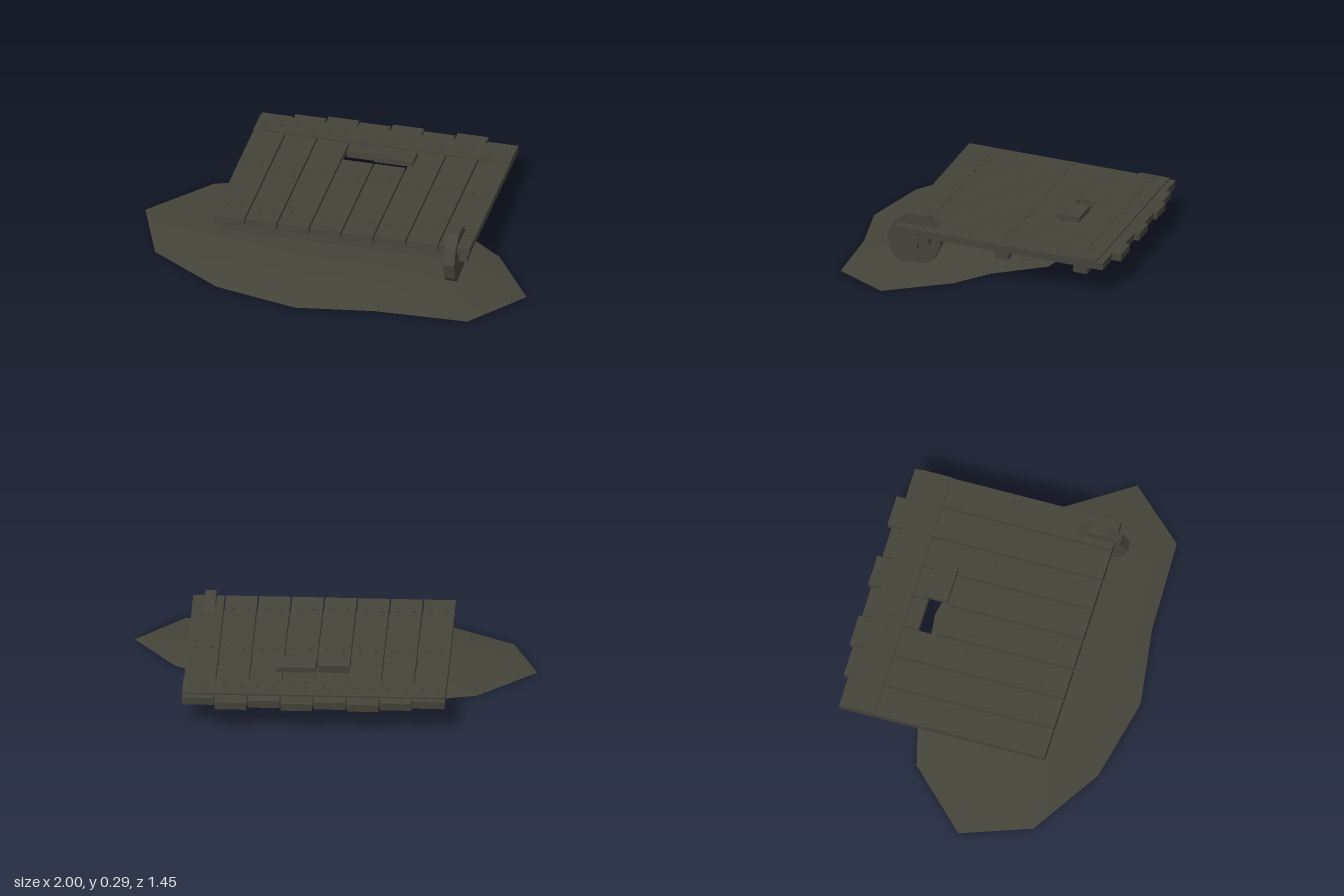
import * as THREE from 'three';

export function createModel() {
  const model = new THREE.Group();
  const wood = new THREE.MeshStandardMaterial({ color: 0x45443a });
  wood.name = 'weathered olive wood';
  const earth = new THREE.MeshStandardMaterial({ color: 0x45443a, side: THREE.DoubleSide });
  earth.name = 'olive earth';

  // Box given by its limits on each axis
  function box(parent, name, x0, x1, y0, y1, z0, z1) {
    const mesh = new THREE.Mesh(new THREE.BoxGeometry(x1 - x0, y1 - y0, z1 - z0), wood);
    mesh.position.set((x0 + x1) / 2, (y0 + y1) / 2, (z0 + z1) / 2);
    mesh.name = name;
    parent.add(mesh);
    return mesh;
  }

  // Low earth mound: shrinking rings of one outline, open underneath
  const outline = [
    [-1, 0.06], [-0.87, 0.405], [-0.51, 0.63], [-0.09, 0.72], [0.3, 0.66], [0.765, 0.645], [1, 0.37],
    [0.79, 0.06], [0.6, -0.08], [0.42, -0.32], [0.06, -0.385], [-0.42, -0.325], [-0.72, -0.24],
  ];
  const rings = [[1, 0], [0.65, 0.042], [0.32, 0.053]];
  const n = outline.length, cx = 0.03, cz = 0.17;
  const pos = [], index = [];
  for (const [s, y] of rings)
    for (const [x, z] of outline) pos.push(cx + (x - cx) * s, y, cz + (z - cz) * s);
  pos.push(cx, 0.055, cz);
  for (let i = 0; i < n; i++) {
    const j = (i + 1) % n;
    for (let r = 0; r < rings.length - 1; r++) {
      const a = r * n + i, b = r * n + j;
      index.push(a, b, b + n, a, b + n, a + n);
    }
    const last = (rings.length - 1) * n;
    index.push(last + i, last + j, rings.length * n);
  }
  const moundGeo = new THREE.BufferGeometry();
  moundGeo.setAttribute('position', new THREE.Float32BufferAttribute(pos, 3));
  moundGeo.setIndex(index);
  moundGeo.computeVertexNormals();
  const mound = new THREE.Mesh(moundGeo, earth);
  mound.name = 'earthMound';
  model.add(mound);

  // Sloping deck; local y = 0 is its top face, local z = 0 its front edge
  const deck = new THREE.Group();
  deck.name = 'plankDeck';
  deck.position.set(0, 0.243, 0.375);
  deck.rotation.x = -0.087;
  model.add(deck);

  const thick = 0.038, pitch = 0.1628, width = 0.155, left = -0.583;
  const backEnds = [-1.06, -1.085, -1.105, -1.09, -1.11, -1.085, -1.11, -1.065];
  const nailGeo = new THREE.CylinderGeometry(0.009, 0.009, 0.006, 6);
  backEnds.forEach((back, i) => {
    const x0 = left + i * pitch, x1 = x0 + width;
    if (i === 3 || i === 4) {
      // Planks cut by the viewing slot
      box(deck, 'slotPlankFront', x0, x1, -thick, 0, -0.707, 0);
      box(deck, 'slotPlankBack', x0, x1, -thick, 0, back, -0.8);
    } else {
      box(deck, 'plank', x0, x1, -thick, 0, back, 0);
    }
    // Nail pairs above each batten
    [[-0.13, 0], [-0.54, 0], [-0.95, 0.008]].forEach(([z, y]) => {
      for (const f of [0.25, 0.75]) {
        const nail = new THREE.Mesh(nailGeo, wood);
        nail.name = 'nail';
        nail.position.set(x0 + width * f, y + 0.002, z);
        deck.add(nail);
      }
    });
  });

  // Cross battens below, thin strip on top, and the raised slot shutter
  for (const z of [-0.13, -0.54, -0.945])
    box(deck, 'batten', -0.56, 0.69, -thick - 0.043, -thick, z - 0.036, z + 0.036);
  box(deck, 'rearStrip', left, 0.713, 0, 0.008, -1.03, -0.877);
  box(deck, 'slotShutter', 0.067, 0.262, 0.015, 0.042, -0.809, -0.697);

  // Axle and the single ten-sided wheel, part sunk into the mound
  const axle = box(model, 'axle', -0.56, 0.69, 0.128, 0.18, 0.272, 0.328);
  axle.rotation.x = -0.2;
  const wheelGeo = new THREE.CylinderGeometry(0.138, 0.138, 0.055, 10).toNonIndexed();
  wheelGeo.computeVertexNormals();
  wheelGeo.rotateZ(Math.PI / 2);
  const wheel = new THREE.Mesh(wheelGeo, wood);
  wheel.name = 'wheel';
  wheel.position.set(0.622, 0.155, 0.303);
  // First vertex lies on +z; turn it to the rolled position
  wheel.rotation.x = -THREE.MathUtils.degToRad(7);
  model.add(wheel);

  return model;
}
